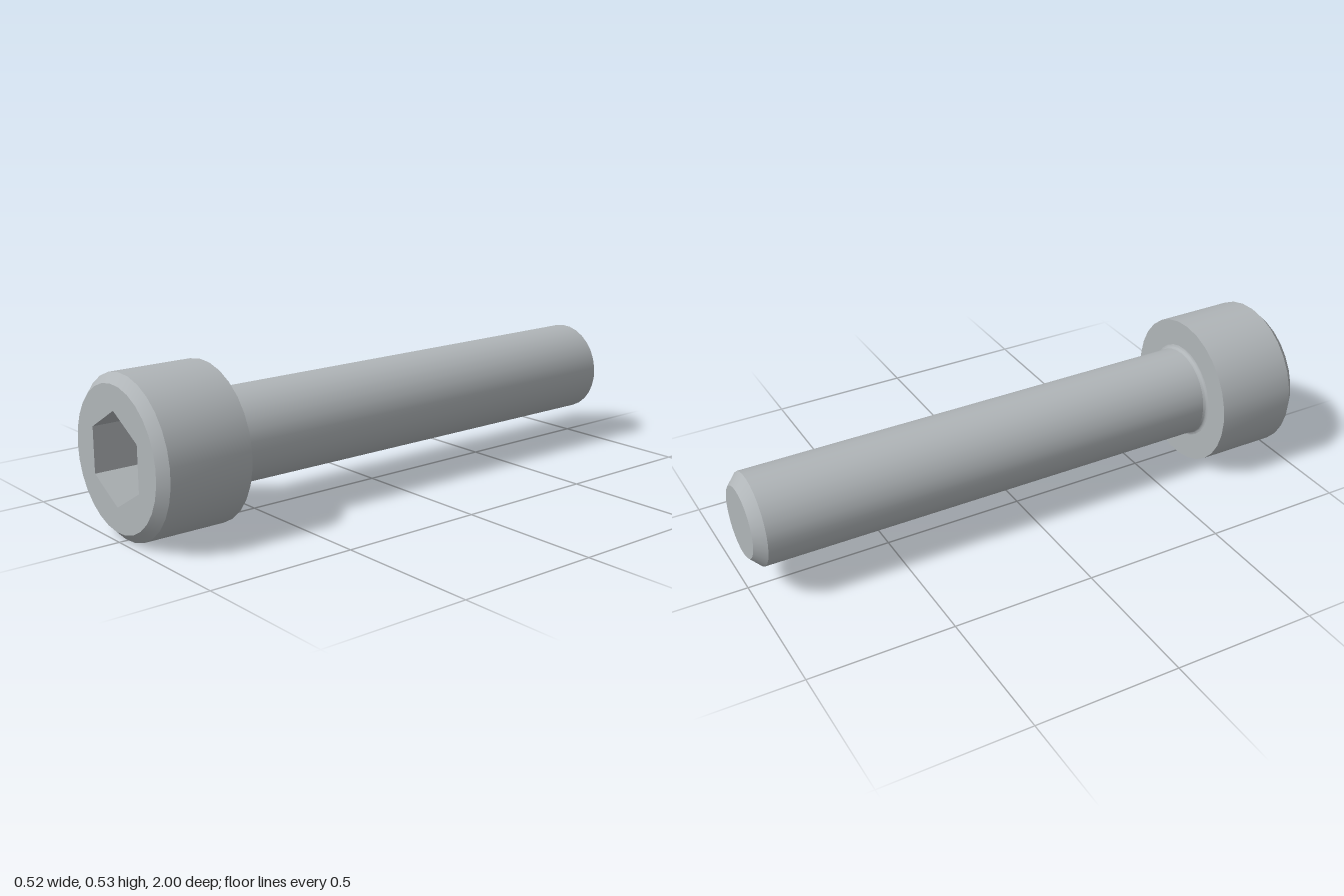
import * as THREE from 'three';
import { toCreasedNormals } from 'three/addons/utils/BufferGeometryUtils.js';

const SIDES = 29;
const HEAD_R = 0.263, CHAMFER = 0.03, HEAD_BACK = 0.684;
const SHANK_R = 0.1575, FILLET = 0.013;
const SOCKET_R = 0.1515, SOCKET_DEPTH = 0.157, DRILL_R = 0.1308;

const steel = new THREE.MeshStandardMaterial({ color: 0xb0b5b8 });
steel.name = 'steel';

// Revolve [radius, z] pairs about the z axis, keeping chamfer edges sharp
function turned(points, sides = SIDES) {
  const profile = points.map(([r, z]) => new THREE.Vector2(r, z));
  const geo = new THREE.LatheGeometry(profile, sides, -Math.PI / 2);
  geo.rotateX(Math.PI / 2);
  return toCreasedNormals(geo, 0.6);
}

// Corner points of a regular polygon
function ring(radius, sides, start) {
  return Array.from({ length: sides }, (_, i) => {
    const a = start + (i / sides) * Math.PI * 2;
    return new THREE.Vector2(radius * Math.cos(a), radius * Math.sin(a));
  });
}

// Flat face looking towards +z with a hole in it
function plate(outer, hole, z) {
  const shape = new THREE.Shape(outer);
  shape.holes.push(new THREE.Path(hole));
  return new THREE.ShapeGeometry(shape).translate(0, 0, z);
}

export function createModel() {
  const screw = new THREE.Group();
  screw.name = 'socketHeadScrew';
  const add = (name, geometry, parent) => {
    const mesh = new THREE.Mesh(geometry, steel);
    mesh.name = name;
    parent.add(mesh);
  };

  // Head: underside, side and front chamfer, then the front face
  const head = new THREE.Group();
  head.name = 'head';
  add('headBody', turned([
    [SHANK_R + FILLET, HEAD_BACK], [HEAD_R, HEAD_BACK],
    [HEAD_R, 1 - CHAMFER], [HEAD_R - CHAMFER, 1],
  ]), head);
  const hexagon = ring(SOCKET_R, 6, Math.PI / 2);
  add('headFace', plate(ring(HEAD_R - CHAMFER, SIDES, Math.PI), hexagon, 1), head);

  // Hex socket: inward-facing walls, floor and drilled cone
  const socket = new THREE.Group();
  socket.name = 'hexSocket';
  const floorZ = 1 - SOCKET_DEPTH;
  let walls = new THREE.CylinderGeometry(SOCKET_R, SOCKET_R, SOCKET_DEPTH, 6, 1, true);
  walls.rotateX(Math.PI / 2);
  walls.scale(-1, 1, 1);
  walls.translate(0, 0, 1 - SOCKET_DEPTH / 2);
  // mirroring keeps the index order, so the faces now look inward
  walls = walls.toNonIndexed();
  walls.computeVertexNormals();
  add('socketWalls', walls, socket);
  add('socketFloor', plate(hexagon, ring(DRILL_R, 48, Math.PI), floorZ), socket);
  add('drillCone', turned([[DRILL_R, floorZ], [0, floorZ - DRILL_R * 0.577]], 48), socket);
  head.add(socket);

  // Shank with chamfered tip
  add('shank', turned([
    [0, -1], [0.121, -1], [SHANK_R, -0.964], [SHANK_R, HEAD_BACK - FILLET],
  ]), screw);

  // Small fillet where the shank meets the head
  const arc = Array.from({ length: 6 }, (_, i) => {
    const a = (i / 5) * Math.PI / 2;
    return [SHANK_R + FILLET * (1 - Math.cos(a)), HEAD_BACK - FILLET * (1 - Math.sin(a))];
  });
  add('neckFillet', turned(arc), screw);

  screw.add(head);
  screw.position.y = HEAD_R;
  const model = new THREE.Group();
  model.name = 'screw';
  model.add(screw);
  return model;
}
